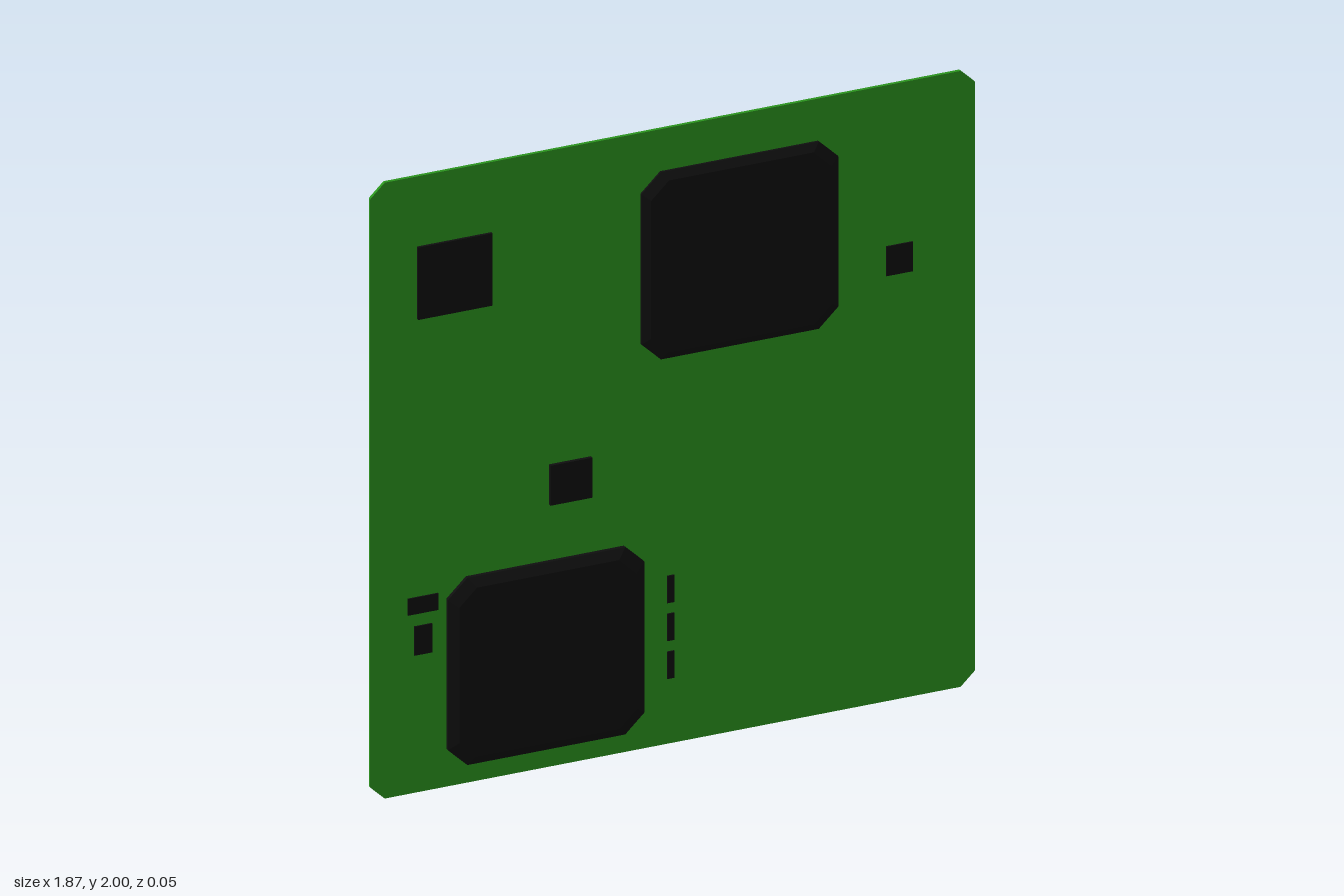
import * as THREE from 'three';

const green = new THREE.MeshStandardMaterial({ color: 0x2a931d, flatShading: true });
const black = new THREE.MeshStandardMaterial({ color: 0x0f0f0f, flatShading: true });

// Rectangle centred on the origin with cut corners
function cutRect(w, h, c) {
  const x = w / 2, y = h / 2;
  return new THREE.Shape([
    [x - c, -y], [x, -y + c], [x, y - c], [x - c, y],
    [-x + c, y], [-x, y - c], [-x, -y + c], [-x + c, -y],
  ].map(([a, b]) => new THREE.Vector2(a, b)));
}

// Large chip: flat back, straight sides, sloped rim at the front
function chipGeometry(size, corner, back, rim, front, inset) {
  const geo = new THREE.ExtrudeGeometry(cutRect(size, size, corner), { depth: 2, steps: 2, bevelEnabled: false });
  const p = geo.attributes.position;
  const levels = [back, rim, front];
  const k = 1 - 2 * inset / size;
  for (let i = 0; i < p.count; i++) {
    const layer = Math.round(p.getZ(i));
    const s = layer === 2 ? k : 1;
    p.setXYZ(i, p.getX(i) * s, p.getY(i) * s, levels[layer]);
  }
  geo.computeVertexNormals();
  return geo;
}

export function createModel() {
  const model = new THREE.Group();
  const add = (name, geo, mat, x, y, z = 0) => {
    const mesh = new THREE.Mesh(geo, mat);
    mesh.name = name;
    mesh.position.set(x, y, z);
    model.add(mesh);
  };

  // Board
  const board = new THREE.ExtrudeGeometry(cutRect(1.87, 2, 0.045), { depth: 0.01, bevelEnabled: false });
  add('board', board, green, 0, 1, -0.009);

  // Large chips, showing on both faces
  add('upperChip', chipGeometry(0.608, 0.06, -0.025, 0.008, 0.02, 0.025), black, 0.205, 1.56);
  add('lowerChip', chipGeometry(0.608, 0.06, -0.025, 0.012, 0.026, 0.03), black, -0.395, 0.367);

  // Small components through the board: name, x, y, width, height, back, front
  const parts = [
    ['squareChip', -0.675, 1.655, 0.23, 0.235, -0.019, 0.009],
    ['middleChip', -0.317, 0.917, 0.13, 0.13, -0.017, 0.011],
    ['smallChip', 0.7, 1.43, 0.082, 0.096, -0.014, 0.005],
    ['wideComponent', -0.772, 0.608, 0.094, 0.054, -0.013, 0.005],
    ['tallComponent', -0.772, 0.494, 0.055, 0.094, -0.013, 0.005],
  ];
  // Row of three narrow components
  for (let i = 0; i < 3; i++) {
    parts.push([`narrowComponent${i + 1}`, -0.007, 0.256 + i * 0.123, 0.022, 0.088, -0.013, 0.005]);
  }
  for (const [name, x, y, w, h, back, front] of parts) {
    add(name, new THREE.BoxGeometry(w, h, front - back), black, x, y, (front + back) / 2);
  }
  return model;
}
